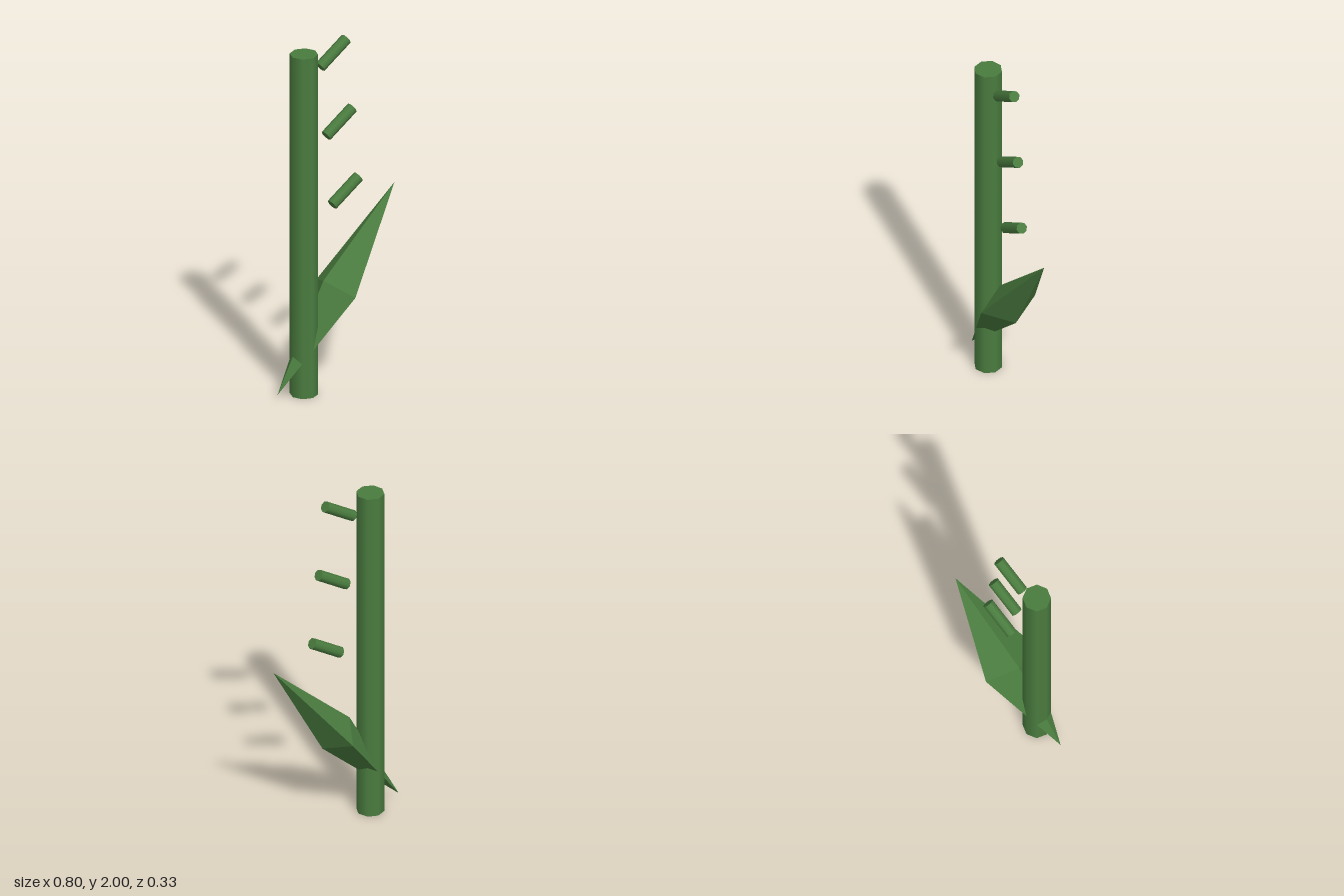
import * as THREE from 'three';

export function createModel() {
  const model = new THREE.Group();
  const green = new THREE.MeshStandardMaterial({ color: 0x4a7c3f });
  green.name = 'plant green';

  const add = (name, geometry, x, y, tilt = 0) => {
    const mesh = new THREE.Mesh(geometry, green);
    mesh.name = name;
    mesh.position.set(x, y, 0);
    mesh.rotation.z = tilt;
    model.add(mesh);
    return mesh;
  };

  // Upright eight-sided stem
  add('stem', new THREE.CylinderGeometry(0.076, 0.076, 1.965, 8), -0.219, 0.9825);

  // Leaf: a stretched octahedron leaning through the stem
  const leaf = add('leaf', new THREE.OctahedronGeometry(1), 0, 0.548, -0.668);
  leaf.scale.set(0.11, 0.646, 0.163);

  // Row of tilted twigs; the lowest is mostly hidden in the leaf
  const twig = new THREE.CylinderGeometry(0.031, 0.031, 0.212, 8);
  for (let i = 0; i < 4; i++) {
    add(`twig${i + 1}`, twig, -0.019 + i * 0.041, 1.917 - i * 0.41, -1);
  }

  return model;
}
